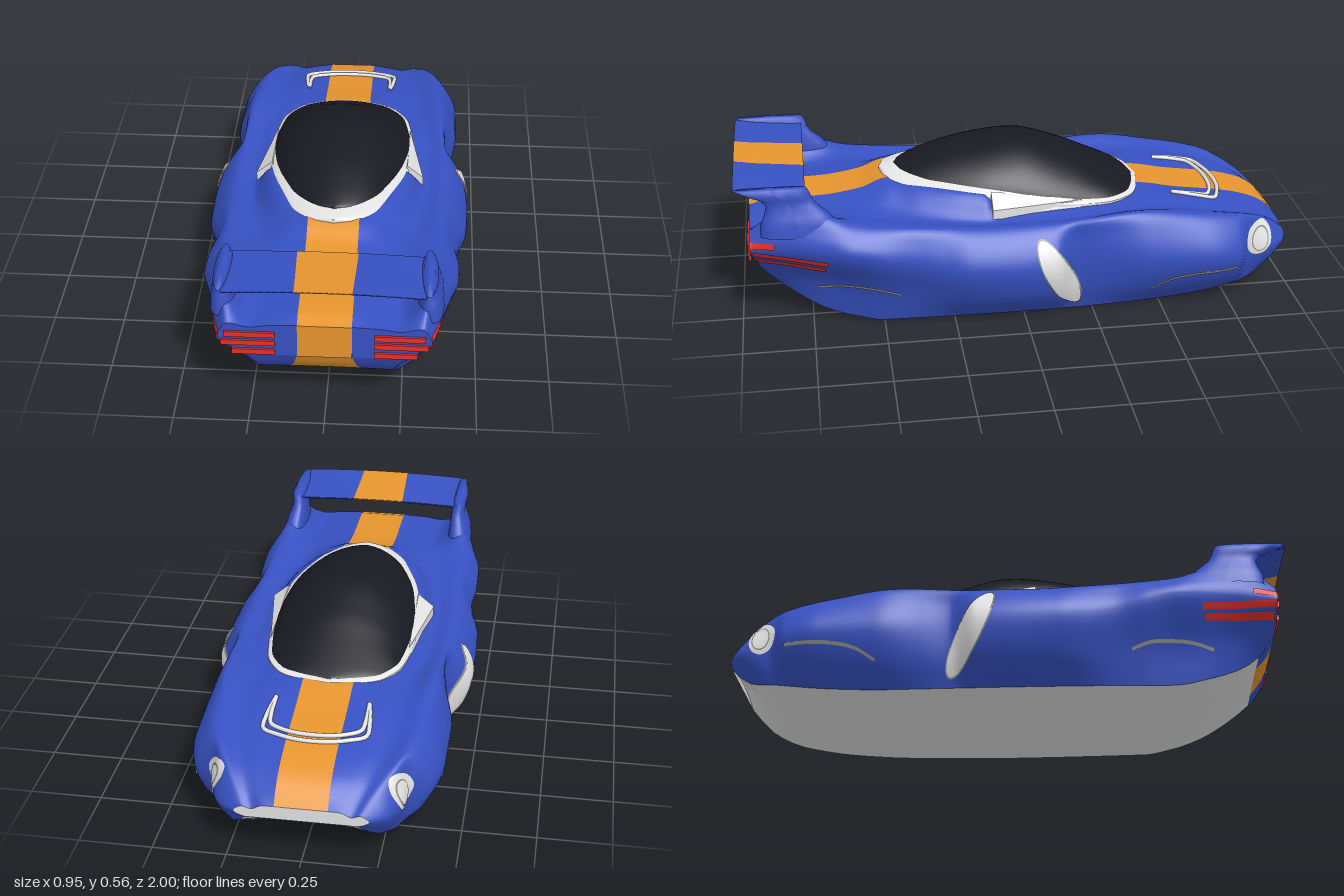
import * as THREE from 'three';

const mat = (name, color) => new THREE.MeshStandardMaterial({ name, color, side: THREE.DoubleSide });

// Smooth monotone interpolation through [z, value] pairs
function track(...p) {
  const n = p.length;
  const d = p.slice(1).map((q, i) => (q[1] - p[i][1]) / (q[0] - p[i][0]));
  const m = p.map((_, i) => {
    if (i === 0) return d[0];
    if (i === n - 1) return d[n - 2];
    return d[i - 1] * d[i] <= 0 ? 0 : (2 * d[i - 1] * d[i]) / (d[i - 1] + d[i]);
  });
  return z => {
    let i = 0;
    while (i < n - 2 && z > p[i + 1][0]) i++;
    const h = p[i + 1][0] - p[i][0];
    const t = THREE.MathUtils.clamp((z - p[i][0]) / h, 0, 1), t2 = t * t, t3 = t2 * t;
    return (2 * t3 - 3 * t2 + 1) * p[i][1] + (t3 - 2 * t2 + t) * h * m[i]
      + (3 * t2 - 2 * t3) * p[i + 1][1] + (t3 - t2) * h * m[i + 1];
  };
}

// Body dimensions along the length (nose at -z, tail at +z)
const NOSE = -0.995, TAIL = 0.955, DIFFUSER = 0.89, STRIPE = 0.088;
const width = track([-1, .21], [-.98, .25], [-.95, .285], [-.9, .31], [-.83, .325], [-.78, .4], [-.65, .43], [-.45, .43], [-.3, .4],
  [-.19, .383], [-.1, .46], [.05, .47], [.2, .465], [.3, .44], [.4, .425], [.5, .435], [.6, .433], [.7, .408], [.85, .37], [.95, .345]);
const widthY = track([-1, .178], [-.9, .18], [-.7, .2], [0, .22], [.25, .23], [.45, .27], [.6, .305], [.8, .315], [.95, .315]);
const tuck = track([-1, .7], [-.6, .65], [0, .72], [.25, .62], [.45, .4], [.65, .3], [.8, .35], [.95, .6]);
const floorX = track([-1, .18], [-.9, .25], [-.8, .3], [-.6, .32], [0, .34], [.5, .33], [.6, .305], [.7, .285], [.89, .22], [.95, .24]);
const floorY = track([-1, .163], [-.95, .11], [-.9, .073], [-.8, .045], [-.6, .017], [-.4, .006], [0, .002], [.5, .002], [.6, .012],
  [.7, .04], [.8, .085], [.89, .15], [.93, .2], [.955, .25]);
const fenderX = track([-1, .19], [-.9, .26], [-.78, .32], [-.6, .35], [0, .38], [.5, .37], [.7, .347], [.85, .335], [.95, .315]);
const fenderY = track([-1, .193], [-.95, .24], [-.9, .275], [-.8, .32], [-.6, .355], [-.4, .38], [-.1, .36], [.1, .36], [.3, .37],
  [.5, .385], [.6, .4], [.7, .435], [.8, .45], [.88, .43], [.955, .375]);
const humpX = track([-1, .13], [-.8, .18], [-.4, .2], [-.2, .26], [0, .26], [.2, .23], [.35, .18], [.45, .14], [.6, .15], [.95, .18]);
const humpY = track([-1, .2], [-.9, .275], [-.8, .31], [-.5, .36], [-.2, .365], [.07, .37], [.13, .43], [.35, .44], [.45, .435], [.55, .405],
  [.7, .385], [.95, .37]);
const deckY = track([-1, .2], [-.95, .255], [-.9, .285], [-.8, .315], [-.6, .345], [-.45, .37], [-.2, .37], [.2, .42], [.46, .45],
  [.56, .415], [.7, .395], [.9, .39], [.95, .375]);

// Half cross-section, from the floor edge over the fender to the stripe
const cache = new Map();
function section(z) {
  if (!cache.has(z)) {
    const w = width(z), wy = widthY(z), b = floorX(z), by = floorY(z);
    const fx = fenderX(z), fy = fenderY(z), hx = humpX(z), hy = humpY(z);
    const pts = [
      [b, by], [b + (w - b) * tuck(z), by + (wy - by) * .45], [w, wy], [w + (fx - w) * .35, wy + (fy - wy) * .6],
      [fx, fy], [(fx + hx) / 2, Math.min(fy, hy) - .008], [hx, hy], [STRIPE, deckY(z)],
    ].map(([x, y]) => new THREE.Vector3(x, y, z));
    cache.set(z, new THREE.CatmullRomCurve3(pts).getPoints(42));
  }
  return cache.get(z);
}
function sideX(z, y) {
  const s = section(z);
  for (let i = 1; i < 30; i++) if (s[i].y >= y && s[i].y > s[i - 1].y) {
    const t = THREE.MathUtils.clamp((y - s[i - 1].y) / (s[i].y - s[i - 1].y), 0, 1);
    return s[i - 1].x + t * (s[i].x - s[i - 1].x);
  }
  return fenderX(z);
}
function topY(z, x) {
  const s = section(z);
  for (let i = s.length - 1; i > 0; i--) if (s[i - 1].x >= x) return s[i - 1].y;
  return fenderY(z);
}

export function createModel() {
  const car = new THREE.Group();
  car.name = 'raceCar';
  const blue = mat('bodyBlue', 0x3751c2), orange = mat('stripeOrange', 0xe6952f), glass = mat('darkGlass', 0x191922);
  const trim = mat('lightTrim', 0xe4e4e4), red = mat('lampRed', 0xe8302a), grey = mat('slotGrey', 0x929290);

  const add = (name, geo, m) => {
    const mesh = new THREE.Mesh(geo, m);
    mesh.name = name;
    car.add(mesh);
    return mesh;
  };
  // Surface from f(u, v) -> [x, y, z]
  const grid = (name, nu, nv, f, m, flip = false) => {
    const pos = [], idx = [];
    for (let i = 0; i <= nu; i++) for (let j = 0; j <= nv; j++) pos.push(...f(i / nu, j / nv));
    for (let i = 0; i < nu; i++) for (let j = 0; j < nv; j++) {
      const a = i * (nv + 1) + j, b = a + nv + 1;
      if (flip) idx.push(a, b, a + 1, b, b + 1, a + 1);
      else idx.push(a, a + 1, b, b, a + 1, b + 1);
    }
    const g = new THREE.BufferGeometry();
    g.setAttribute('position', new THREE.Float32BufferAttribute(pos, 3));
    g.setIndex(idx);
    g.computeVertexNormals();
    return add(name, g, m);
  };
  const lerp = THREE.MathUtils.lerp;
  const zAt = u => lerp(NOSE, TAIL, u);

  // Painted body sides and centre stripe
  for (const s of [1, -1]) grid('bodySide', 120, 42, (u, v) => {
    const p = section(zAt(u))[Math.round(v * 42)];
    return [s * p.x, p.y, p.z];
  }, blue, s > 0);
  grid('bodyStripe', 120, 4, (u, v) => [lerp(STRIPE, -STRIPE, v), deckY(zAt(u)), zAt(u)], orange, true);

  // Arched floor, then the painted lower tail behind it
  const arch = (x, z) => floorY(z) + .025 * (1 - (x / floorX(z)) ** 2) * THREE.MathUtils.smoothstep(TAIL - z, 0, .3);
  const floor = (name, z0, z1, x0, x1, m) => grid(name, 50, 10, (u, v) => {
    const z = lerp(z0, z1, u), x = lerp(x0(z), x1(z), v);
    return [x, arch(x, z), z];
  }, m, true);
  const flare = z => lerp(.12, .09, (z - DIFFUSER) / (TAIL - DIFFUSER));
  floor('underbody', NOSE, DIFFUSER, z => -floorX(z), floorX, trim);
  floor('lowerTail', DIFFUSER, TAIL, z => -floorX(z), z => -flare(z), blue);
  floor('lowerTail', DIFFUSER, TAIL, flare, floorX, blue);
  floor('lowerTailStripe', DIFFUSER, TAIL, z => -flare(z), flare, orange);

  // Nose lip and tail panel close the ends
  const cap = z => {
    const half = section(z);
    return new THREE.ShapeGeometry(new THREE.Shape([
      ...half.map(p => new THREE.Vector2(p.x, p.y)),
      ...half.slice().reverse().map(p => new THREE.Vector2(-p.x, p.y))]));
  };
  add('noseLip', cap(NOSE).rotateY(Math.PI), trim).position.z = NOSE;
  add('tailPanel', cap(TAIL), blue).position.z = TAIL;
  const tailH = deckY(TAIL) - floorY(TAIL);
  add('tailStripe', new THREE.BoxGeometry(STRIPE * 2, tailH, .006), orange)
    .position.set(0, floorY(TAIL) + tailH / 2, TAIL);

  // Canopy: dark dome with a low, slightly wider frame showing around its edge
  const canopyW = track([-.455, 0], [-.44, .1], [-.4, .18], [-.3, .235], [-.1, .255], [.1, .235], [.3, .17], [.38, .115], [.415, .07], [.43, 0]);
  const canopyBase = track([-.455, .365], [-.25, .373], [-.1, .39], [.1, .423], [.3, .435], [.43, .448]);
  const canopyTop = track([-.455, .375], [-.42, .395], [-.3, .457], [-.2, .507], [0, .565], [.2, .542], [.35, .502], [.43, .472]);
  const dome = (name, z0, z1, grow, rise, m) => grid(name, 56, 32, (u, v) => {
    const z = lerp(z0, z1, (1 - Math.cos(u * Math.PI)) / 2);
    const k = lerp(-.455, .43, (z - z0) / (z1 - z0)), a = v * Math.PI, base = canopyBase(k);
    const y = base + (canopyTop(k) - base) * rise * Math.sin(a) ** 1.4;
    return [(canopyW(k) + grow * Math.sin(u * Math.PI)) * Math.cos(a), y, z];
  }, m, true);
  dome('canopyGlass', -.455, .43, 0, 1, glass);
  dome('canopyFrame', -.47, .485, .012, .5, trim);
  // Frame skirt down to the body
  grid('canopySkirt', 56, 1, (u, v) => {
    const a = u * Math.PI * 2, t = (1 - Math.cos(a)) / 2, k = lerp(-.455, .43, t);
    return [Math.sign(Math.sin(a)) * canopyW(k) + .012 * Math.sin(a), canopyBase(k) - .05 * v, lerp(-.47, .485, t)];
  }, trim);

  // Strip laid on the body side; rows are [z, y, halfZ, halfY]
  const strip = (name, rows, m, lift = .005) => {
    for (const s of [1, -1]) grid(name, rows.length - 1, 6, (u, v) => {
      const [z, y, hz, hy] = rows[Math.round(u * (rows.length - 1))], k = v * 2 - 1;
      const zz = z + hz * k, yy = y + hy * k;
      return [s * (sideX(zz, yy) + lift), yy, zz];
    }, m, s > 0);
  };
  const line = (pts, h) => new THREE.CatmullRomCurve3(pts.map(([z, y]) => new THREE.Vector3(0, y, z)))
    .getPoints(16).map(p => [p.z, p.y, 0, h]);
  const oval = (z, y, rz, ry, lean = 0) => Array.from({ length: 21 }, (_, i) => {
    const a = (i / 20) * Math.PI;
    return [z - lean * Math.cos(a), y - ry * Math.cos(a), rz * Math.sin(a), 0];
  });
  strip('sideIntakeRim', oval(-.118, .18, .055, .15, .07), grey, .004);
  strip('sideIntake', oval(-.118, .18, .05, .145, .068), trim, .008);
  strip('headlampHousing', oval(-.868, .222, .052, .064), trim, .004);
  strip('headlampRing', oval(-.872, .22, .035, .047), grey, .006);
  strip('headlampLens', oval(-.872, .22, .03, .042), trim, .008);
  strip('rearSlot', line([[.73, .14], [.65, .155], [.51, .145], [.44, .12]], .006), grey);
  strip('frontSlot', line([[-.45, .09], [-.52, .13], [-.6, .148], [-.77, .155]], .006), grey);

  // Tail lamps wrap from the rear panel onto the sides
  for (const [y, x, z, zEnd, yEnd] of [[.335, .325, TAIL, .87, .338], [.302, .335, TAIL, .69, .268], [.266, .3, .945, .7, .238]]) {
    for (const s of [1, -1])
      add('tailLamp', new THREE.BoxGeometry(x - .16, .02, .009), red).position.set(s * (x + .16) / 2, y, TAIL + .003);
    strip('sideTailLamp', line([[z, y], [(z + zEnd) / 2, (y + yEnd) / 2], [zEnd, yEnd]], .011), red);
  }

  // Cockpit side ducts: ramp rising to the canopy, with a squared rear end
  for (const s of [1, -1]) {
    const A = [.25, .39, -.22], B = [.303, .392, .105], C = [.225, .385, .105], D = [.245, .44, .105];
    const E = [.303, .34, .105], F = [.27, .34, -.21];
    const tris = [A, D, B, A, C, D, B, D, C, A, B, E, A, E, F, B, C, E];
    const g = new THREE.BufferGeometry();
    g.setAttribute('position', new THREE.Float32BufferAttribute(tris.flatMap(([x, y, z]) => [s * x, y, z]), 3));
    if (s < 0) g.setIndex(tris.flatMap((_, i) => (i % 3 ? [] : [i, i + 2, i + 1])));
    g.computeVertexNormals();
    add('cockpitDuct', g, trim);
  }

  // Hood vent: outer and inner edging that meet at the trailing ends
  for (const half of [
    [[.16, -.57], [.175, -.67], [.172, -.73], [.12, -.755], [.05, -.772]],
    [[.16, -.57], [.16, -.66], [.152, -.705], [.11, -.728], [.05, -.742]],
  ]) {
    const pts = [...half, ...half.slice().reverse().map(([x, z]) => [-x, z])]
      .map(([x, z]) => new THREE.Vector3(x, topY(z, Math.abs(x)) + .004, z));
    add('hoodVent', new THREE.TubeGeometry(new THREE.CatmullRomCurve3(pts), 60, .008, 8), trim);
  }

  // Rear wing in three colour spans
  const foil = [[.755, .522], [.85, .53], [.93, .537], [1, .547], [1, .54], [.92, .522], [.85, .514], [.77, .51], [.755, .522]];
  const wing = (name, x0, x1, m) => grid(name, 10, 8, (u, v) => {
    const [z, y] = foil[Math.round(v * 8)], x = lerp(x0, x1, u);
    return [x * (1 - .35 * (z - .755)), y - .01 * (x / .35) ** 2, z];
  }, m, true);
  wing('wingLeft', .1, .35, blue);
  wing('wingStripe', -.1, .1, orange);
  wing('wingRight', -.35, -.1, blue);

  // Wing supports swept up from the fenders; rows are [y, x, halfX, z0, z1]
  const support = [[.37, .338, .045, .64, .915], [.41, .336, .042, .655, .912], [.44, .333, .036, .68, .9],
    [.475, .327, .027, .72, .89], [.5, .328, .026, .735, .91], [.52, .332, .026, .74, .96], [.538, .33, .018, .75, .998], [.539, .33, 0, .87, .88]];
  const soft = t => Math.sign(t) * Math.abs(t) ** .75;
  for (const s of [1, -1]) grid('wingSupport', 7, 28, (u, v) => {
    const [y, x, h, z0, z1] = support[Math.round(u * 7)], a = v * Math.PI * 2;
    return [s * (x + h * soft(Math.cos(a))), y, (z0 + z1) / 2 + (z1 - z0) / 2 * soft(Math.sin(a))];
  }, blue, s < 0);

  return car;
}
